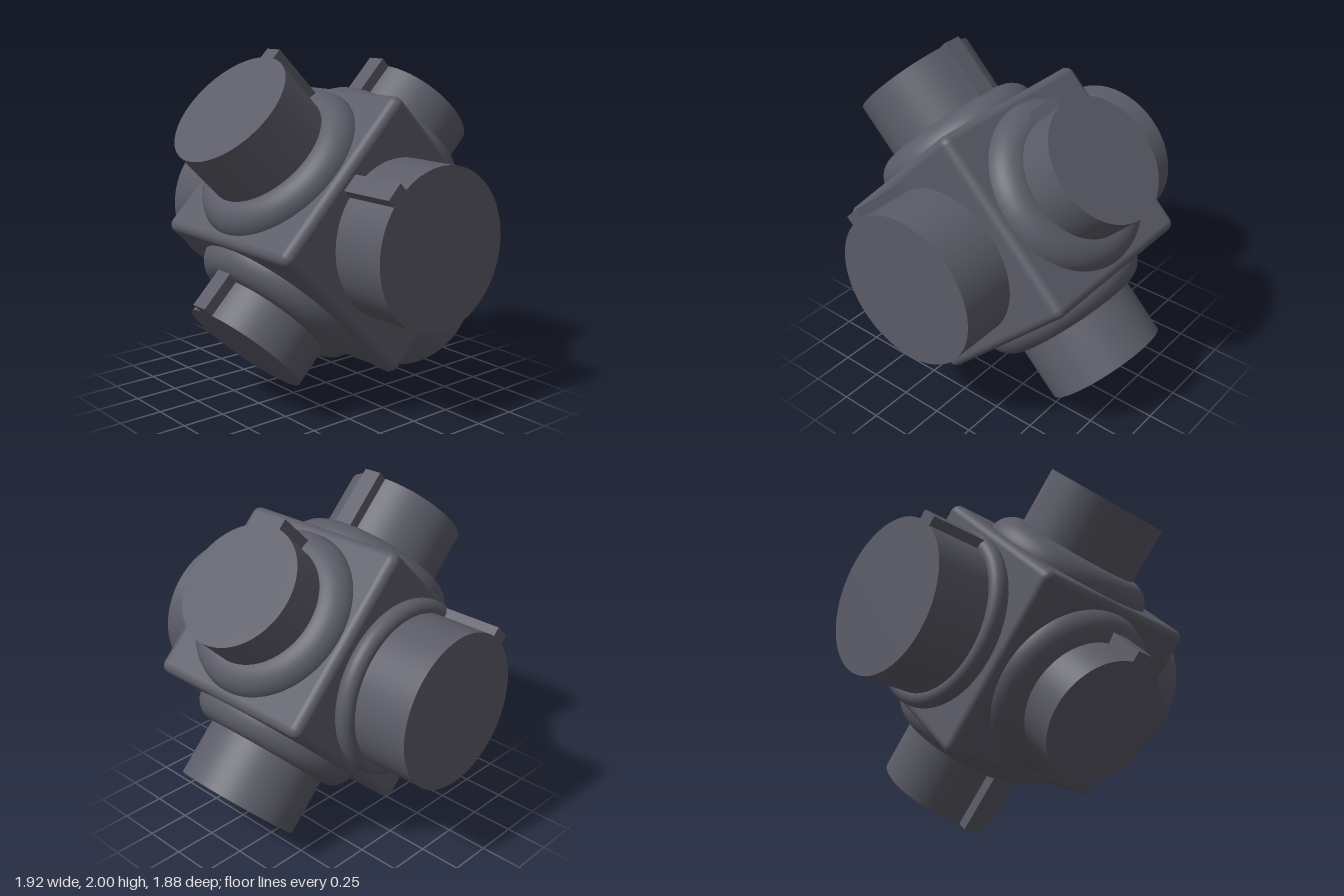
import * as THREE from 'three';
import { RoundedBoxGeometry } from 'three/addons/geometries/RoundedBoxGeometry.js';
import { toCreasedNormals } from 'three/addons/utils/BufferGeometryUtils.js';

const KEY_HALF = 0.055;

// Round shaft with one raised key on +y, running along +z from the origin
function keyedShaft(radius, keyTop, length) {
  const a = Math.asin(KEY_HALF / radius);
  const shape = new THREE.Shape();
  shape.absarc(0, 0, radius, Math.PI / 2 + a, Math.PI * 2.5 - a, false);
  shape.lineTo(KEY_HALF, keyTop);
  shape.lineTo(-KEY_HALF, keyTop);
  shape.closePath();
  const geo = new THREE.ExtrudeGeometry(shape, { depth: length, bevelEnabled: false, curveSegments: 72 });
  return toCreasedNormals(geo, 0.5);
}

export function createModel() {
  const model = new THREE.Group();
  model.name = 'sixWayHub';
  const material = new THREE.MeshStandardMaterial({ color: 0x5c5c68 });

  // Everything hangs on a cube turned on its edge
  const hub = new THREE.Group();
  hub.name = 'hub';
  hub.position.set(0, 1, 0.055);
  hub.rotation.z = Math.PI / 4;
  model.add(hub);

  const add = (name, geometry, parent) => {
    const mesh = new THREE.Mesh(geometry, material);
    mesh.name = name;
    parent.add(mesh);
  };
  add('cubeBody', new RoundedBoxGeometry(1.105, 1.105, 1.105, 6, 0.05), hub);

  // Arms: axis and key direction in the cube's own frame; ring = [radius, tube, distance]
  const sideRing = [0.362, 0.138, 0.526];
  const arms = [
    { name: 'upperLeftSideArm', axis: [1, 0, 0], key: [0, 1, 0], radius: 0.358, keyTop: 0.417, length: 0.886, ring: sideRing },
    { name: 'lowerRightSideArm', axis: [-1, 0, 0], key: [0, 1, 0], radius: 0.358, keyTop: 0.417, length: 0.886, ring: sideRing },
    { name: 'upperRightSideArm', axis: [0, 1, 0], key: [1, 0, 0], radius: 0.358, keyTop: 0.417, length: 0.997, ring: sideRing },
    { name: 'lowerLeftSideArm', axis: [0, -1, 0], key: [-1, 0, 0], radius: 0.358, keyTop: 0.417, length: 0.997, ring: sideRing },
    { name: 'frontArm', axis: [0, 0, 1], key: [0, 1, 0], radius: 0.442, keyTop: 0.493, length: 0.885 },
    { name: 'backArm', axis: [0, 0, -1], key: [0, 1, 0], radius: 0.442, keyTop: 0.493, length: 0.995, ring: [0.455, 0.055, 0.608] },
  ];

  for (const { name, axis, key, radius, keyTop, length, ring } of arms) {
    const arm = new THREE.Group();
    arm.name = name;
    const z = new THREE.Vector3(...axis);
    const y = new THREE.Vector3(...key);
    const x = new THREE.Vector3().crossVectors(y, z);
    arm.quaternion.setFromRotationMatrix(new THREE.Matrix4().makeBasis(x, y, z));
    hub.add(arm);

    add('keyedShaft', keyedShaft(radius, keyTop, length), arm);

    // Bulging collar where the shaft leaves the cube
    if (ring) {
      const collar = new THREE.TorusGeometry(ring[0], ring[1], 32, 96);
      collar.translate(0, 0, ring[2]);
      add('collarRing', collar, arm);
    }
  }
  return model;
}
